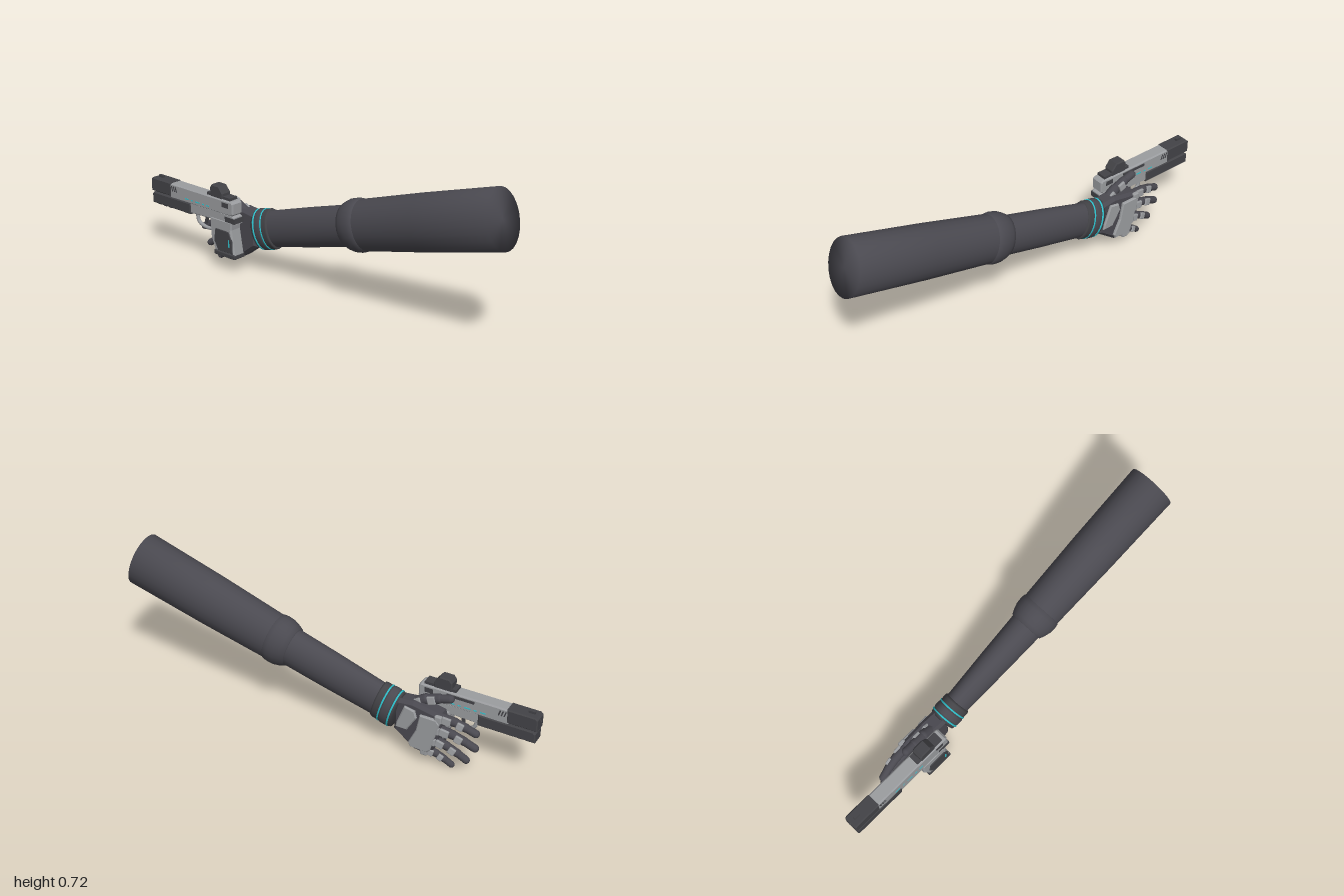
import * as THREE from 'three';
import { RoundedBoxGeometry } from 'three/addons/geometries/RoundedBoxGeometry.js';

const material = (name, color) => {
  const m = new THREE.MeshStandardMaterial({ color });
  m.name = name;
  return m;
};

export function createModel() {
  const model = new THREE.Group();
  model.name = 'armWithSidearm';
  const sleeve = material('charcoalSleeve', 0x4a4950);
  const dark = material('darkPolymer', 0x434347);
  const grey = material('lightGreyPlate', 0x9b9da0);
  const mid = material('midGreyDetail', 0x68696d);
  const cyan = material('cyanGlow', 0x2fc4d0);

  const add = (parent, name, geo, mat) => {
    const mesh = new THREE.Mesh(geo, mat);
    mesh.name = name;
    parent.add(mesh);
    return mesh;
  };
  const group = (name) => {
    const g = new THREE.Group();
    g.name = name;
    model.add(g);
    return g;
  };

  // Side outline in [z, y], extruded from x0 to x1 with a small bevel
  const prism = (parent, name, pts, x0, x1, mat, bevel = 0.005) => {
    const shape = new THREE.Shape(pts.map(([z, y]) => new THREE.Vector2(z, y)));
    const geo = new THREE.ExtrudeGeometry(shape, {
      depth: x1 - x0 - 2 * bevel, bevelEnabled: bevel > 0, bevelSize: bevel,
      bevelThickness: bevel, bevelOffset: -bevel, bevelSegments: 1,
    });
    geo.rotateY(-Math.PI / 2);
    geo.translate(x1 - bevel, 0, 0);
    return add(parent, name, geo, mat);
  };
  const block = (parent, name, x0, x1, y0, y1, z0, z1, mat, r = 0) => {
    const s = [x1 - x0, y1 - y0, z1 - z0];
    const geo = r ? new RoundedBoxGeometry(...s, 1, r) : new THREE.BoxGeometry(...s);
    geo.translate((x0 + x1) / 2, (y0 + y1) / 2, (z0 + z1) / 2);
    return add(parent, name, geo, mat);
  };

  // Arm: oval lathes along one sloping axis, profile in [distance, half height]
  const arm = group('arm');
  arm.position.set(0, 0.603, 0.965);
  arm.rotation.x = THREE.MathUtils.degToRad(-16);
  const oval = (name, profile, k0, k1, mat) => {
    const geo = new THREE.LatheGeometry(profile.map(([u, r]) => new THREE.Vector2(r, u)), 24);
    const u0 = profile[0][0], u1 = profile[profile.length - 1][0];
    const p = geo.attributes.position, n = geo.attributes.normal;
    const v = new THREE.Vector3();
    for (let i = 0; i < p.count; i++) {
      const k = k0 + (k1 - k0) * (p.getY(i) - u0) / (u1 - u0);
      p.setX(i, p.getX(i) * k);
      v.fromBufferAttribute(n, i);
      v.x /= k;
      v.normalize();
      n.setXYZ(i, v.x, v.y, v.z);
    }
    geo.rotateX(-Math.PI / 2);
    add(arm, name, geo, mat);
  };
  oval('upperArm', [[0, 0], [0, 0.133], [0.4, 0.126], [0.78, 0.113]], 0.84, 0.82, sleeve);
  oval('elbowBand', [[0.728, 0.108], [0.735, 0.117], [0.755, 0.121], [0.785, 0.12],
    [0.815, 0.11], [0.835, 0.1], [0.838, 0.088]], 0.84, 0.8, sleeve);
  oval('forearm', [[0.78, 0.094], [1.05, 0.092], [1.32, 0.086]], 0.82, 0.62, sleeve);
  oval('wristCuff', [[1.29, 0.08], [1.292, 0.094], [1.3, 0.097], [1.385, 0.096],
    [1.395, 0.092], [1.398, 0]], 0.65, 0.63, dark);
  for (const u of [1.328, 1.377]) {
    oval('cuffGlowRing', [[u - 0.004, 0.094], [u - 0.003, 0.0995], [u + 0.003, 0.0995], [u + 0.004, 0.094]], 0.65, 0.65, cyan);
  }
  oval('cuffMiddleBand', [[1.335, 0.095], [1.339, 0.1], [1.366, 0.1], [1.37, 0.095]], 0.65, 0.65, sleeve);

  // Palm with armour on its outer (+x) side
  const hand = group('hand');
  prism(hand, 'palm', [[-0.37, 0.3], [-0.46, 0.31], [-0.59, 0.285], [-0.6, 0.25], [-0.575, 0.11],
    [-0.54, 0.055], [-0.47, 0.065], [-0.37, 0.14]], -0.04, 0.04, sleeve, 0.014);
  prism(hand, 'backPlate', [[-0.5, 0.265], [-0.58, 0.265], [-0.595, 0.245], [-0.555, 0.095],
    [-0.54, 0.08], [-0.46, 0.085], [-0.45, 0.105], [-0.485, 0.18]], 0.034, 0.052, grey);
  prism(hand, 'wristPlate', [[-0.425, 0.285], [-0.475, 0.275], [-0.485, 0.24], [-0.44, 0.165],
    [-0.385, 0.165], [-0.39, 0.19]], 0.034, 0.05, grey);

  // One capsule between two joints, with an armour plate facing +x
  const up = new THREE.Vector3(0, 1, 0);
  const segment = (parent, a, b, r, plate) => {
    const dir = b.clone().sub(a);
    const g = new THREE.Group();
    g.name = 'fingerSegment';
    g.position.copy(a).add(b).multiplyScalar(0.5);
    g.quaternion.setFromUnitVectors(up, dir.clone().normalize());
    add(g, 'joint', new THREE.CapsuleGeometry(r, dir.length(), 4, 12), sleeve);
    if (plate) {
      const geo = new RoundedBoxGeometry(0.014, dir.length() * 0.6, r * 1.7, 1, 0.004);
      add(g, 'segmentPlate', geo.translate(r * 0.85, 0, 0), grey);
    }
    parent.add(g);
  };
  // Knuckle and tip of each finger as [z, y]
  const fingers = [
    ['indexFinger', [-0.585, 0.265], [-0.745, 0.222], 0.021],
    ['middleFinger', [-0.575, 0.203], [-0.745, 0.146], 0.021],
    ['ringFinger', [-0.56, 0.14], [-0.708, 0.07], 0.02],
    ['littleFinger', [-0.525, 0.078], [-0.64, 0.021], 0.018],
  ];
  for (const [name, k, t, r] of fingers) {
    const f = new THREE.Group();
    f.name = name;
    hand.add(f);
    const at = (s) => new THREE.Vector3(0.016 - 0.018 * s * s,
      k[1] + (t[1] - k[1]) * s + 0.012 * Math.sin(Math.PI * s), k[0] + (t[0] - k[0]) * s);
    const stops = [0, 0.42, 0.74, 1];
    for (let i = 0; i < 3; i++) segment(f, at(stops[i]), at(stops[i + 1]), r - i * 0.0015, i < 2);
    const knuckle = new RoundedBoxGeometry(0.022, 0.036, 0.034, 1, 0.006);
    add(f, 'knuckleGuard', knuckle.translate(0.038, k[1], k[0]), grey);
  }
  const thumb = new THREE.Group();
  thumb.name = 'thumb';
  hand.add(thumb);
  const tj = [[-0.01, 0.27, -0.43], [-0.014, 0.313, -0.5], [-0.018, 0.332, -0.56], [-0.02, 0.345, -0.61]]
    .map((p) => new THREE.Vector3(...p));
  for (let i = 0; i < 3; i++) segment(thumb, tj[i], tj[i + 1], 0.025 - i * 0.003, i < 2);

  // Sidearm held on the palm (-x) side
  const gun = group('sidearm');
  const L = -0.109, R = -0.045;
  prism(gun, 'slide', [[-0.455, 0.29], [-0.445, 0.3], [-0.445, 0.35], [-0.455, 0.36],
    [-0.87, 0.36], [-0.87, 0.285]], L, R, grey, 0.006);
  prism(gun, 'frame', [[-0.44, 0.285], [-0.46, 0.295], [-0.75, 0.295], [-0.75, 0.24], [-0.44, 0.25]],
    L + 0.003, R - 0.003, grey);
  block(gun, 'rearRecess', L + 0.002, R - 0.002, 0.255, 0.28, -0.5, -0.437, dark);
  prism(gun, 'muzzleBlock', [[-0.86, 0.295], [-0.86, 0.362], [-0.99, 0.362], [-1, 0.352], [-1, 0.295]],
    L - 0.002, R + 0.002, dark);
  prism(gun, 'underBarrel', [[-0.73, 0.235], [-0.73, 0.29], [-0.985, 0.29], [-0.995, 0.28], [-0.995, 0.235]],
    L - 0.002, R + 0.002, dark);
  for (let i = 0; i < 3; i++) {
    block(gun, 'railTooth', L + 0.01, R - 0.01, 0.229, 0.237, -0.97 + i * 0.04, -0.95 + i * 0.04, dark);
  }
  const bore = new THREE.CylinderGeometry(0.015, 0.015, 0.006, 16).rotateX(Math.PI / 2);
  add(gun, 'bore', bore.translate(-0.077, 0.328, -0.997), mid);

  // Grip, base plate and trigger guard
  prism(gun, 'grip', [[-0.455, 0.26], [-0.46, 0.22], [-0.44, 0.098], [-0.57, 0.098],
    [-0.595, 0.16], [-0.6, 0.26]], L, R + 0.002, grey, 0.007);
  block(gun, 'gripBase', L - 0.002, R + 0.003, 0.078, 0.1, -0.575, -0.438, dark, 0.005);
  for (const x of [L - 0.004, R - 0.004]) {
    prism(gun, 'gripPanel', [[-0.475, 0.21], [-0.455, 0.17], [-0.45, 0.105], [-0.545, 0.105],
      [-0.57, 0.15], [-0.56, 0.21]], x, x + 0.009, dark, 0.002);
  }
  block(gun, 'gripGlow', L - 0.006, L - 0.003, 0.135, 0.172, -0.475, -0.468, cyan);
  const guard = new THREE.CatmullRomCurve3([[0.24, -0.715], [0.2, -0.705], [0.182, -0.66], [0.185, -0.59]]
    .map(([y, z]) => new THREE.Vector3(-0.077, y, z)));
  add(gun, 'triggerGuard', new THREE.TubeGeometry(guard, 14, 0.009, 8), grey);
  prism(gun, 'trigger', [[-0.64, 0.245], [-0.655, 0.245], [-0.66, 0.2], [-0.65, 0.2]], -0.083, -0.071, dark, 0);

  // Sights and slide details
  prism(gun, 'opticHousing', [[-0.515, 0.355], [-0.515, 0.385], [-0.54, 0.417], [-0.588, 0.417],
    [-0.6, 0.4], [-0.6, 0.355]], L + 0.005, R - 0.005, dark);
  block(gun, 'opticBase', L + 0.008, R - 0.008, 0.355, 0.373, -0.62, -0.47, dark);
  block(gun, 'frontSight', -0.083, -0.071, 0.36, 0.373, -0.975, -0.945, dark);
  block(gun, 'sideRail', R - 0.008, R + 0.004, 0.338, 0.35, -0.71, -0.58, dark);
  for (const x of [L, R]) {
    const plate = (name, y0, y1, z0, z1, mat) => block(gun, name, x - 0.0015, x + 0.0015, y0, y1, z0, z1, mat);
    [[-0.6, 0.02], [-0.635, 0.012], [-0.665, 0.03], [-0.71, 0.012], [-0.74, 0.025]]
      .forEach(([z, len]) => plate('slideGlowDash', 0.304, 0.309, z - len, z, cyan));
    for (let i = 0; i < 3; i++) {
      const z = -0.82 - i * 0.013;
      prism(gun, 'slideVent', [[z, 0.322], [z - 0.006, 0.322], [z - 0.014, 0.348], [z - 0.008, 0.348]],
        x - 0.0015, x + 0.0015, dark, 0);
    }
    plate('rearSerration', 0.325, 0.348, -0.515, -0.475, dark);
  }
  return model;
}
